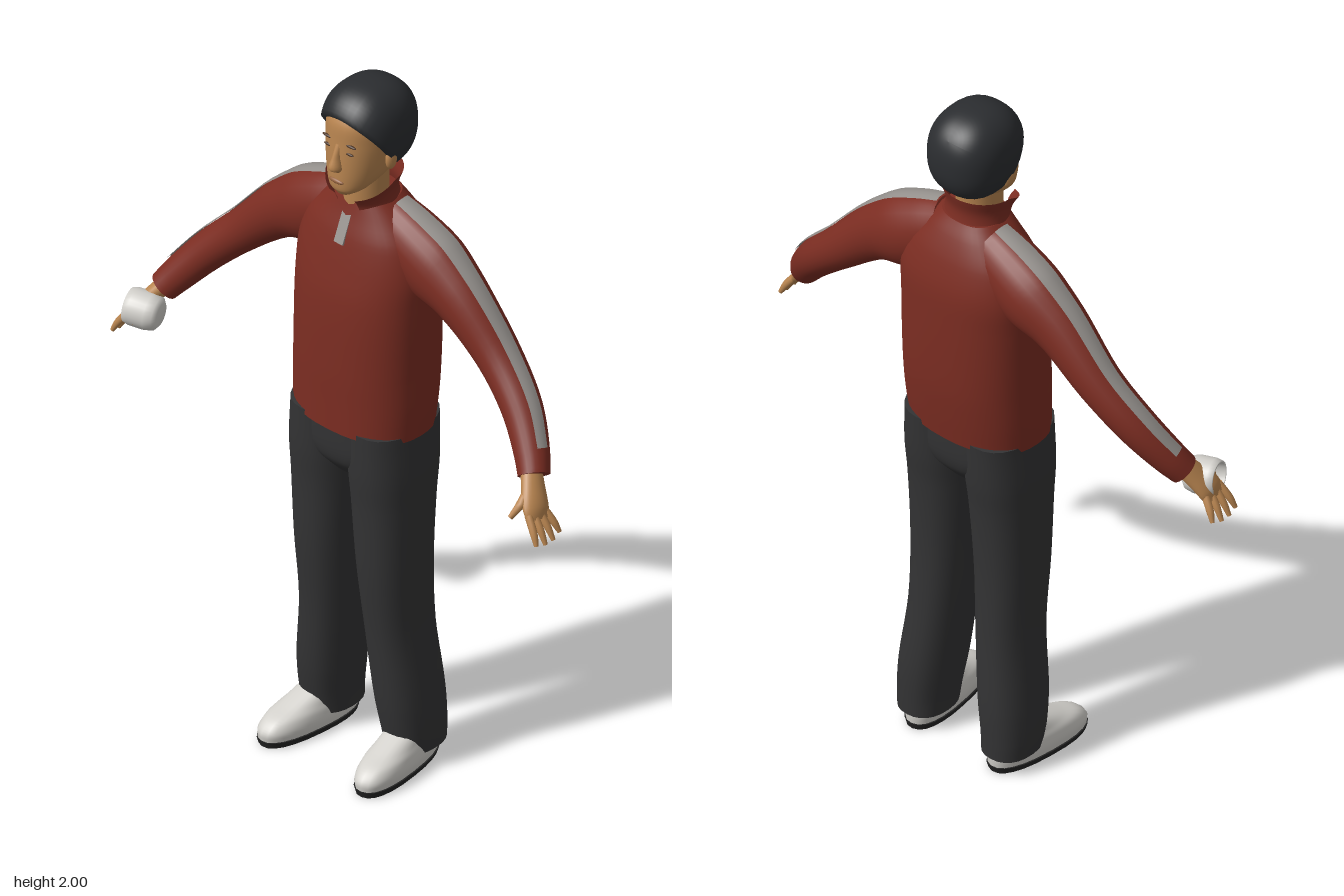
import * as THREE from 'three';

const mat = (name, color, side = THREE.FrontSide) => {
  const m = new THREE.MeshStandardMaterial({ color, side });
  m.name = name;
  return m;
};

// Skin through elliptical sections; rows are [x, y, z, radiusAcross, radiusDepth].
// flat keeps every section horizontal; from/to give an open strip of the surface.
function loft(rows, { seg = 24, steps = 5, exp = 2, flat = false, from, to, grow = 0 } = {}) {
  const path = new THREE.CatmullRomCurve3(rows.map(r => new THREE.Vector3(r[0], r[1], r[2])));
  const radii = new THREE.CatmullRomCurve3(rows.map(r => new THREE.Vector3(r[3], r[4], r[1])));
  const open = from !== undefined, cols = open ? seg + 1 : seg;
  const count = (rows.length - 1) * steps, rings = [];
  for (let i = 0; i <= count; i++) rings.push([i / count, 1]);
  if (!open) { // flat end caps
    rings.unshift([0, 0], [0, 1]);
    rings.push([1, 1], [1, 0]);
  }
  const pos = [], index = [];
  for (const [t, k] of rings) {
    const c = path.getPoint(t), r = radii.getPoint(t);
    const dir = flat ? new THREE.Vector3(0, 1, 0) : path.getTangent(t);
    const depth = new THREE.Vector3(0, 0, 1).addScaledVector(dir, -dir.z).normalize();
    const across = dir.clone().cross(depth);
    for (let i = 0; i < cols; i++) {
      const a = open ? from + (to - from) * i / seg : i / seg * Math.PI * 2;
      const f = v => Math.sign(v) * Math.abs(v) ** (2 / exp) * k;
      const p = c.clone().addScaledVector(across, f(Math.cos(a)) * (r.x + grow))
        .addScaledVector(depth, f(Math.sin(a)) * (r.y + grow));
      pos.push(p.x, p.y, p.z);
    }
  }
  for (let j = 0; j < rings.length - 1; j++)
    for (let i = 0; i < seg; i++) {
      const p = j * cols + i, q = j * cols + (i + 1) % cols;
      index.push(p, p + cols, q, q, p + cols, q + cols);
    }
  const g = new THREE.BufferGeometry();
  g.setAttribute('position', new THREE.Float32BufferAttribute(pos, 3));
  g.setIndex(index);
  g.computeVertexNormals();
  return g;
}

const blob = (x, y, z, rx, ry, rz) =>
  new THREE.SphereGeometry(1, 16, 12).scale(rx, ry, rz).translate(x, y, z);

// Mirror across x, keeping faces outward
function mirrored(geo) {
  const g = geo.clone().scale(-1, 1, 1), ix = g.index.array;
  for (let i = 0; i < ix.length; i += 3) [ix[i], ix[i + 1]] = [ix[i + 1], ix[i]];
  return g;
}

export function createModel() {
  const red = mat('jacketRed', 0x7c2d22, THREE.DoubleSide);
  const black = mat('trouserBlack', 0x333334);
  const hairMat = mat('hairBlack', 0x2b2d30, THREE.DoubleSide);
  const skin = mat('skin', 0xb98550);
  const darkSkin = mat('lipBrown', 0x94623f);
  const brown = mat('browBrown', 0x4a3222);
  const grey = mat('stripeGrey', 0x96928e, THREE.DoubleSide);
  const white = mat('shoeWhite', 0xd2d0cb, THREE.DoubleSide);
  const soleMat = mat('soleBlack', 0x242424);

  const model = new THREE.Group();
  model.name = 'standingMan';
  const add = (name, geo, material) => {
    const m = new THREE.Mesh(geo, material);
    m.name = name;
    model.add(m);
    return m;
  };
  const pair = (name, geo, material) => {
    add('left' + name, geo, material);
    add('right' + name, mirrored(geo), material);
  };

  // Jacket body
  add('jacketBody', loft([
    [0, 1.015, -.018, .194, .138], [0, 1.1, -.024, .198, .144], [0, 1.2, -.029, .198, .149],
    [0, 1.4, -.035, .2, .145], [0, 1.5, -.042, .2, .133], [0, 1.58, -.042, .175, .113],
    [0, 1.64, -.04, .125, .09], [0, 1.68, -.035, .085, .073],
  ], { seg: 40, exp: 2.4, flat: true }), red);

  // Sleeves with a stripe along the top
  const sleeve = [
    [.06, 1.6, -.05, .085, .07], [.13, 1.565, -.052, .095, .08], [.21, 1.52, -.055, .1, .083],
    [.3, 1.468, -.053, .078, .073], [.43, 1.348, -.05, .058, .061], [.53, 1.25, -.025, .052, .055],
    [.6, 1.165, .015, .046, .047], [.63, 1.123, .04, .041, .042],
  ];
  pair('Sleeve', loft(sleeve), red);
  pair('SleeveStripe', loft(sleeve.slice(0, 7),
    { seg: 4, from: Math.PI - .32, to: Math.PI + .32, grow: .004 }), grey);

  // Stand-up collar, open and lower at the front
  const collar = loft([
    [0, 1.62, -.035, .115, .09], [0, 1.67, -.03, .09, .078], [0, 1.71, -.022, .088, .08],
    [0, 1.755, -.018, .104, .094],
  ], { seg: 36, flat: true, from: Math.PI / 2 + .42, to: Math.PI * 2.5 - .42 });
  const cp = collar.attributes.position;
  for (let i = 0; i < cp.count; i++) {
    const y = cp.getY(i), z = cp.getZ(i);
    cp.setY(i, y - .6 * Math.max(0, z + .02) * (y - 1.62) / .135);
  }
  collar.computeVertexNormals();
  add('collar', collar, red);
  add('zipFlap', new THREE.BoxGeometry(.03, .085, .008).rotateX(-.4).translate(0, 1.6, .062), grey);

  // Trousers
  pair('TrouserLeg', loft([
    [.14, .05, -.055, .068, .084], [.14, .1, -.05, .071, .09], [.132, .2, -.042, .076, .098],
    [.112, .4, -.028, .075, .098], [.106, .6, -.015, .084, .105], [.102, .8, -.015, .094, .115],
    [.1, .9, -.017, .098, .126], [.096, 1.03, -.02, .094, .132],
  ], { exp: 2.3, flat: true }), black);
  add('trouserHips', loft([
    [0, .86, -.017, .07, .08], [0, .91, -.017, .15, .118], [0, .95, -.018, .188, .128],
    [0, 1.04, -.019, .19, .132],
  ], { seg: 36, exp: 2.4, flat: true }), black);

  // Shoes, toes turned slightly out
  const place = g => g.rotateY(.12).translate(.148, 0, 0);
  pair('Shoe', place(loft([
    [0, .015, .028, .055, .156], [0, .04, .027, .059, .157], [0, .065, .015, .056, .143],
    [0, .085, -.01, .05, .115], [0, .11, -.04, .045, .08],
  ], { exp: 2.4, flat: true })), white);
  pair('Sole', place(loft([
    [0, 0, .028, .054, .154], [0, .018, .028, .06, .159],
  ], { exp: 2.4, flat: true, steps: 1 })), soleMat);

  // Hands
  pair('Palm', loft([
    [.615, 1.145, .035, .024, .028], [.645, 1.105, .06, .023, .034],
    [.675, 1.065, .083, .02, .04], [.69, 1.04, .09, .012, .036],
  ]), skin);
  const reach = [.93, 1.05, 1.05, .95];
  for (let i = 0; i < 4; i++) {
    const z = .062 + .018 * i, spread = (i - 1.5) * .007;
    pair('Finger' + (i + 1), loft([
      [.68, 1.06, z, .011, .01], [.708, 1.022, z + spread, .01, .01],
      [.68 + .045 * reach[i], 1.06 - .07 * reach[i], z + spread * 1.6, .006, .006],
    ], { seg: 10, steps: 4 }), skin);
  }
  pair('Thumb', loft([
    [.645, 1.1, .075, .015, .016], [.652, 1.08, .115, .012, .012], [.642, 1.05, .143, .007, .007],
  ], { seg: 10, steps: 4 }), skin);

  // Rounded cup held in the right hand
  const cup = add('cup', new THREE.LatheGeometry([
    [0, -.045], [.032, -.045], [.044, -.036], [.05, -.015], [.05, .03], [.046, .045],
    [.04, .045], [.038, -.02], [0, -.025],
  ].map(p => new THREE.Vector2(...p)), 28), white);
  cup.position.set(-.642, 1.075, .1);
  cup.rotation.set(0, .3, 1.5);

  // Neck, head and face
  add('neck', loft([[0, 1.6, -.025, .066, .07], [0, 1.69, -.02, .06, .062], [0, 1.79, -.025, .062, .062]],
    { flat: true }), skin);
  add('head', loft([
    [0, 1.712, .05, .024, .026], [0, 1.73, .035, .05, .053], [0, 1.77, -.004, .075, .094],
    [0, 1.82, -.02, .087, .108], [0, 1.87, -.027, .092, .112], [0, 1.92, -.03, .09, .11],
    [0, 1.965, -.03, .065, .085],
  ], { seg: 32, exp: 2.2, flat: true }), skin);
  add('nose', loft([
    [0, 1.786, .083, .012, .012], [0, 1.798, .088, .018, .023], [0, 1.83, .085, .011, .016],
    [0, 1.868, .079, .008, .006],
  ], { seg: 12, flat: true }), skin);
  add('lips', blob(0, 1.757, .088, .024, .007, .007), darkSkin);
  pair('Eye', blob(.036, 1.848, .079, .014, .004, .004), brown);
  pair('Brow', blob(.037, 1.872, .077, .02, .004, .005), brown);
  pair('Ear', blob(.093, 1.815, -.015, .012, .03, .018), skin);

  // Hair: a boxy cap tilted back, with its rim tucked in to the head
  const hair = new THREE.SphereGeometry(1, 40, 24, 0, Math.PI * 2, 0, Math.PI * .66);
  const rimStart = 41 * 24;
  hair.rotateX(-.93);
  const hp = hair.attributes.position, v = new THREE.Vector3();
  for (let i = 0; i < hp.count; i++) {
    v.fromBufferAttribute(hp, i);
    const k = (Math.abs(v.x) ** 2.4 + Math.abs(v.y) ** 2.4 + Math.abs(v.z) ** 2.4) ** (-1 / 2.4);
    v.multiplyScalar(i >= rimStart ? k * .84 : k);
    hp.setXYZ(i, v.x * .109, 1.875 + v.y * .125, -.035 + v.z * .125);
  }
  hair.computeVertexNormals();
  add('hair', hair, hairMat);

  return model;
}
